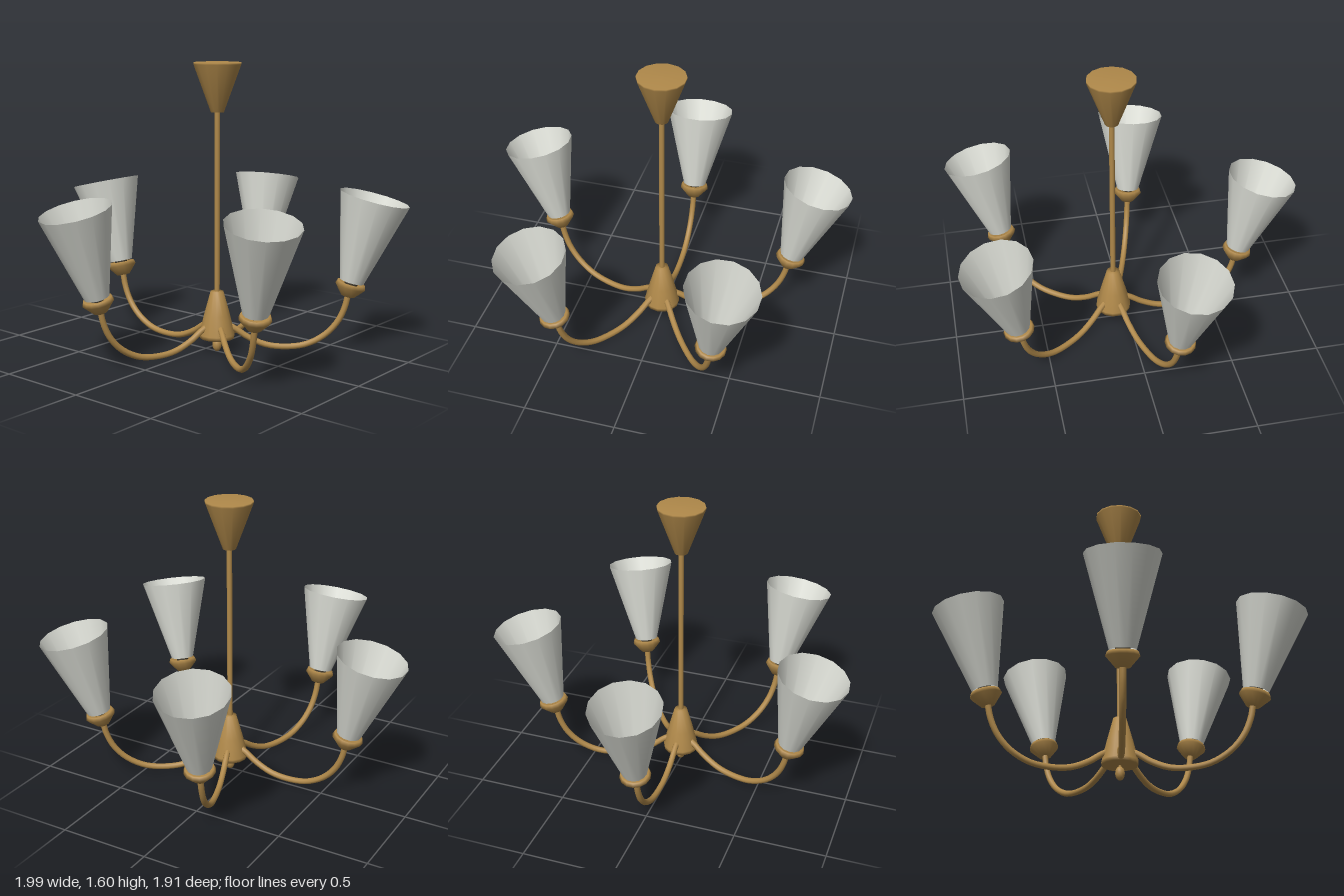
import * as THREE from 'three';

const brass = new THREE.MeshStandardMaterial({ color: 0xb0894a });
brass.name = 'brass';
const glass = new THREE.MeshStandardMaterial({ color: 0xdcded6, side: THREE.DoubleSide });
glass.name = 'frosted glass';
const dark = new THREE.MeshStandardMaterial({ color: 0x40382a });
dark.name = 'dark socket';

function part(name, geometry, material, parent) {
  const mesh = new THREE.Mesh(geometry, material);
  mesh.name = name;
  parent.add(mesh);
  return mesh;
}

// Turned part from [radius, height] pairs, listed bottom to top
function turned(profile, sides) {
  return new THREE.LatheGeometry(profile.map(([r, y]) => new THREE.Vector2(r, y)), sides);
}

// One arm reaching along +x, with its cup, socket and shade
function makeArm() {
  const arm = new THREE.Group();
  arm.name = 'lampArm';

  const path = new THREE.CatmullRomCurve3([
    [0.05, 0.16], [0.1, 0.135], [0.17, 0.088], [0.27, 0.046], [0.38, 0.036],
    [0.49, 0.052], [0.59, 0.105], [0.66, 0.18], [0.7, 0.265], [0.718, 0.345],
  ].map(([x, y]) => new THREE.Vector3(x, y, 0)));
  part('curvedTube', new THREE.TubeGeometry(path, 28, 0.017, 8), brass, arm);

  // Everything above the tube leans outward
  const head = new THREE.Group();
  head.name = 'lampHead';
  head.position.set(0.715, 0.33, 0);
  head.rotation.z = -0.24;
  arm.add(head);

  part('cup', turned([[0, 0], [0.037, 0], [0.084, 0.055], [0.076, 0.078], [0.06, 0.07], [0, 0.064]], 14), brass, head);
  part('socket', new THREE.CylinderGeometry(0.036, 0.036, 0.14, 12).translate(0, 0.13, 0), dark, head);
  part('shade', turned([[0.067, 0.085], [0.193, 0.56]], 14), glass, head);
  return arm;
}

export function createModel() {
  const model = new THREE.Group();
  model.name = 'chandelier';
  const lamp = new THREE.Group();
  lamp.name = 'lamp';
  lamp.position.z = 0.08;
  model.add(lamp);

  // Central column
  part('ceilingCanopy', turned([[0, 1.33], [0.036, 1.33], [0.13, 1.585], [0.13, 1.595], [0, 1.597]], 14), brass, lamp);
  part('rod', new THREE.CylinderGeometry(0.015, 0.015, 1.05, 12).translate(0, 0.83, 0), brass, lamp);
  part('hub', turned([[0, 0.083], [0.097, 0.083], [0.099, 0.105], [0.072, 0.215], [0.036, 0.345], [0, 0.347]], 14), brass, lamp);
  part('finial', new THREE.SphereGeometry(1, 12, 8).scale(0.026, 0.038, 0.026).translate(0, 0.04, 0), brass, lamp);
  part('finialStem', new THREE.CylinderGeometry(0.008, 0.008, 0.04, 8).translate(0, 0.075, 0), brass, lamp);

  // Five arms, the first pointing straight back
  for (let i = 0; i < 5; i++) {
    const arm = makeArm();
    arm.rotation.y = Math.PI / 2 + (i * Math.PI * 2) / 5;
    lamp.add(arm);
  }
  return model;
}
